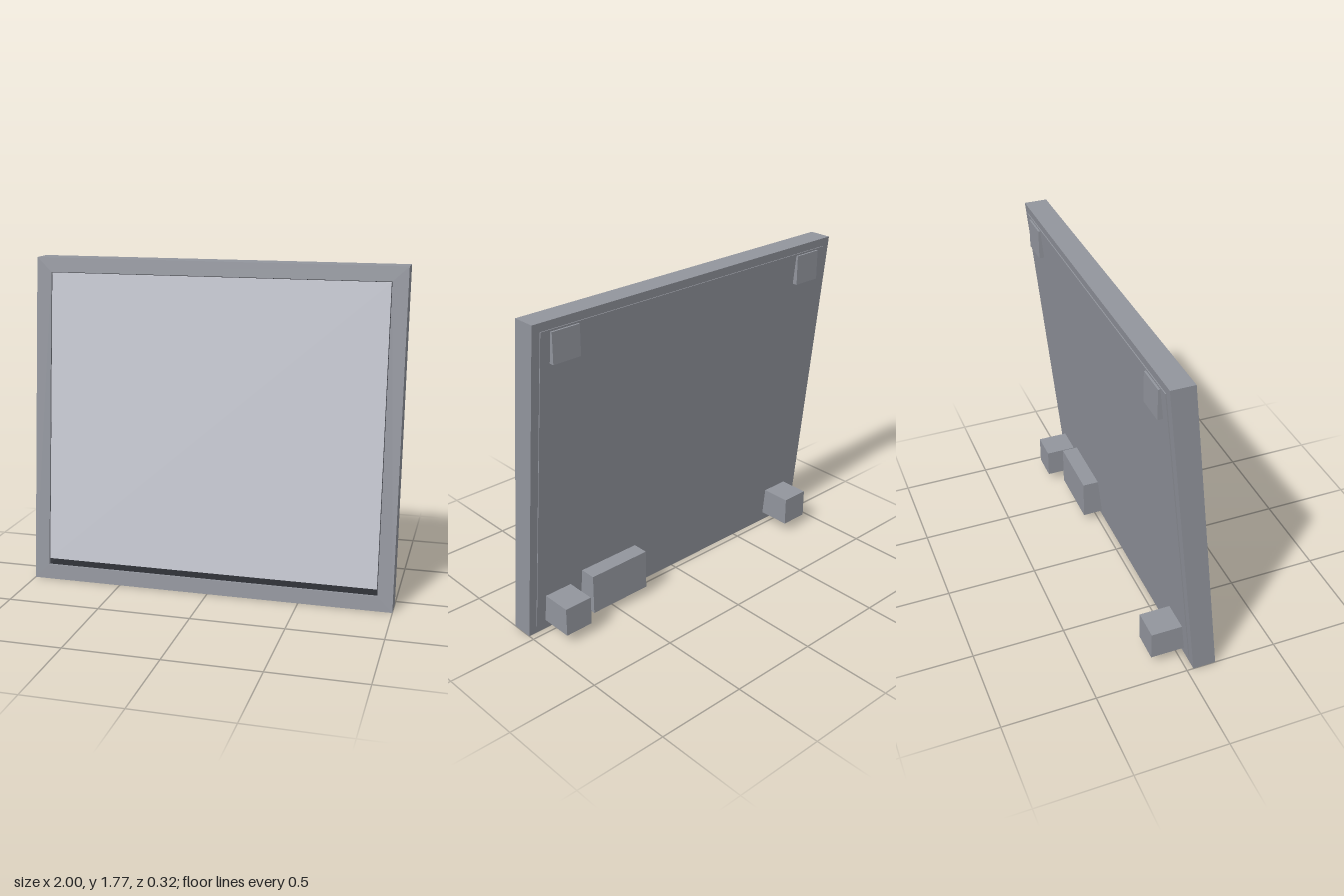
import * as THREE from 'three';

const H = 1.775;      // overall height
const DEPTH = 0.124;  // frame depth
const FRONT = 0.16;   // z of the front face at the base
const SLOPE = 0.105;  // backward lean per unit of height

const frameGrey = new THREE.MeshStandardMaterial({ name: 'frameGrey', color: 0x92959d });
const screenGrey = new THREE.MeshStandardMaterial({ name: 'screenGrey', color: 0xc6c8d1 });
const gapBlack = new THREE.MeshStandardMaterial({ name: 'gapBlack', color: 0x22242d });

// Lean a geometry backwards while keeping its top and bottom level
function lean(geo) {
  const p = geo.attributes.position;
  for (let i = 0; i < p.count; i++) p.setZ(i, p.getZ(i) + FRONT - SLOPE * p.getY(i));
  geo.computeVertexNormals();
  return geo;
}

function boxGeo(x0, x1, y0, y1, z0, z1) {
  const g = new THREE.BoxGeometry(x1 - x0, y1 - y0, z1 - z0);
  return g.translate((x0 + x1) / 2, (y0 + y1) / 2, (z0 + z1) / 2);
}

function rectPoints(x, y0, y1) {
  return [[-x, y0], [x, y0], [x, y1], [-x, y1]].map(([a, b]) => new THREE.Vector2(a, b));
}

export function createModel() {
  const model = new THREE.Group();
  model.name = 'leaningPanel';
  const add = (name, geo, mat) => {
    const m = new THREE.Mesh(geo, mat);
    m.name = name;
    model.add(m);
  };

  // Rectangular frame with an opening
  const outline = new THREE.Shape(rectPoints(1, 0, H));
  outline.holes.push(new THREE.Path(rectPoints(0.918, 0.08, 1.698)));
  const frame = new THREE.ExtrudeGeometry(outline, { depth: DEPTH, bevelEnabled: false });
  add('frame', lean(frame.translate(0, 0, -DEPTH)), frameGrey);

  // Dark bed in the opening, with the screen lying on it
  add('screenBed', lean(boxGeo(-0.918, 0.918, 0.08, 1.698, -0.03, -0.012)), gapBlack);
  add('screen', lean(boxGeo(-0.914, 0.914, 0.115, 1.694, -0.012, -0.004)), screenGrey);

  // Back cover, slightly proud of the frame
  add('backCover', lean(boxGeo(-0.955, 0.955, 0.045, 1.73, -DEPTH - 0.005, -0.03)), frameGrey);

  // Upright spacers that bring the back to one vertical plane
  for (const [side, x] of [['left', 0.82], ['right', -0.82]]) {
    add(side + 'TopSpacer', boxGeo(x - 0.08, x + 0.08, 1.56, 1.72, -0.16, -0.1), frameGrey);
    add(side + 'BottomSpacer', boxGeo(x - 0.08, x + 0.08, 0.06, 0.22, -0.16, 0.05), frameGrey);
  }

  // Connection box beside the left bottom spacer
  add('connectionBox', boxGeo(0.3, 0.665, 0.05, 0.275, -0.088, 0.05), frameGrey);

  return model;
}
